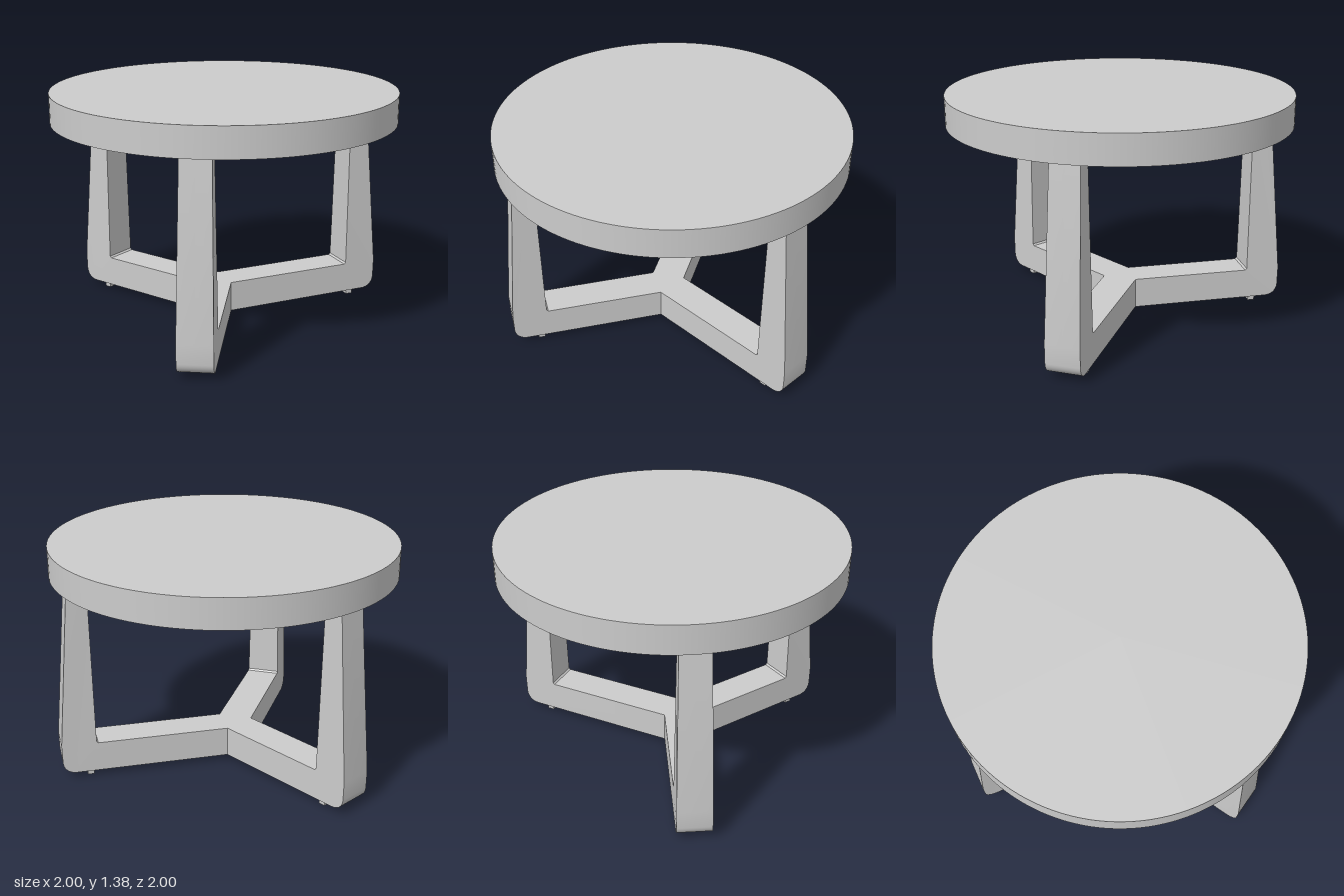
import * as THREE from 'three';
import { toCreasedNormals } from 'three/addons/utils/BufferGeometryUtils.js';

const material = new THREE.MeshStandardMaterial({ color: 0xcccccc });
const HUB_X = -0.055, HALF = 0.1, ARM_TOP = 0.21, LEG_TOP = 1.21, BASE = 0.03;

// L-shaped floor arm and tapering upright, as one extruded profile
function legGeometry(outer) {
  const round = 0.07, inner = outer - 0.205;
  const s = new THREE.Shape();
  s.moveTo(0, BASE);
  s.lineTo(outer - round - 0.01, BASE);
  s.bezierCurveTo(outer - 0.035, BASE, outer - 0.005, BASE + 0.03, outer - 0.002, BASE + round);
  s.lineTo(outer, 0.21);
  s.lineTo(outer - 0.085, LEG_TOP);
  s.lineTo(inner + 0.01, LEG_TOP);
  s.lineTo(inner, ARM_TOP + 0.01);
  s.lineTo(inner - 0.01, ARM_TOP);
  s.lineTo(0, ARM_TOP);
  const g = new THREE.ExtrudeGeometry(s, { depth: 2 * HALF, steps: 2, bevelEnabled: false, curveSegments: 10 });
  g.translate(0, 0, -HALF);
  const p = g.attributes.position;
  for (let i = 0; i < p.count; i++) {
    // mitre the hub end so the three arms meet, and narrow the upright towards the top
    if (p.getX(i) < 1e-4) p.setX(i, Math.abs(p.getZ(i)) * Math.tan(Math.PI / 6));
    const t = Math.max(0, (p.getY(i) - ARM_TOP) / (LEG_TOP - ARM_TOP));
    p.setZ(i, p.getZ(i) * (1 - 0.15 * t));
  }
  return toCreasedNormals(g, 0.5);
}

export function createModel() {
  const model = new THREE.Group();
  model.name = 'roundTable';

  const top = new THREE.Mesh(new THREE.CylinderGeometry(1, 1, 0.17, 128), material);
  top.name = 'tableTop';
  top.position.y = 1.29;
  model.add(top);

  // Three legs radiating from an off-centre hub
  [1.055, 0.972, 0.972].forEach((outer, i) => {
    const unit = new THREE.Group();
    unit.name = 'legUnit' + (i + 1);
    unit.position.set(HUB_X, 0, 0);
    unit.rotation.y = i * 2 * Math.PI / 3;

    const leg = new THREE.Mesh(legGeometry(outer), material);
    leg.name = 'leg';

    const foot = new THREE.Mesh(new THREE.BoxGeometry(0.04, 0.04, 0.17), material);
    foot.name = 'footPad';
    foot.position.set(outer - 0.165, 0.02, 0);

    unit.add(leg, foot);
    model.add(unit);
  });
  return model;
}
